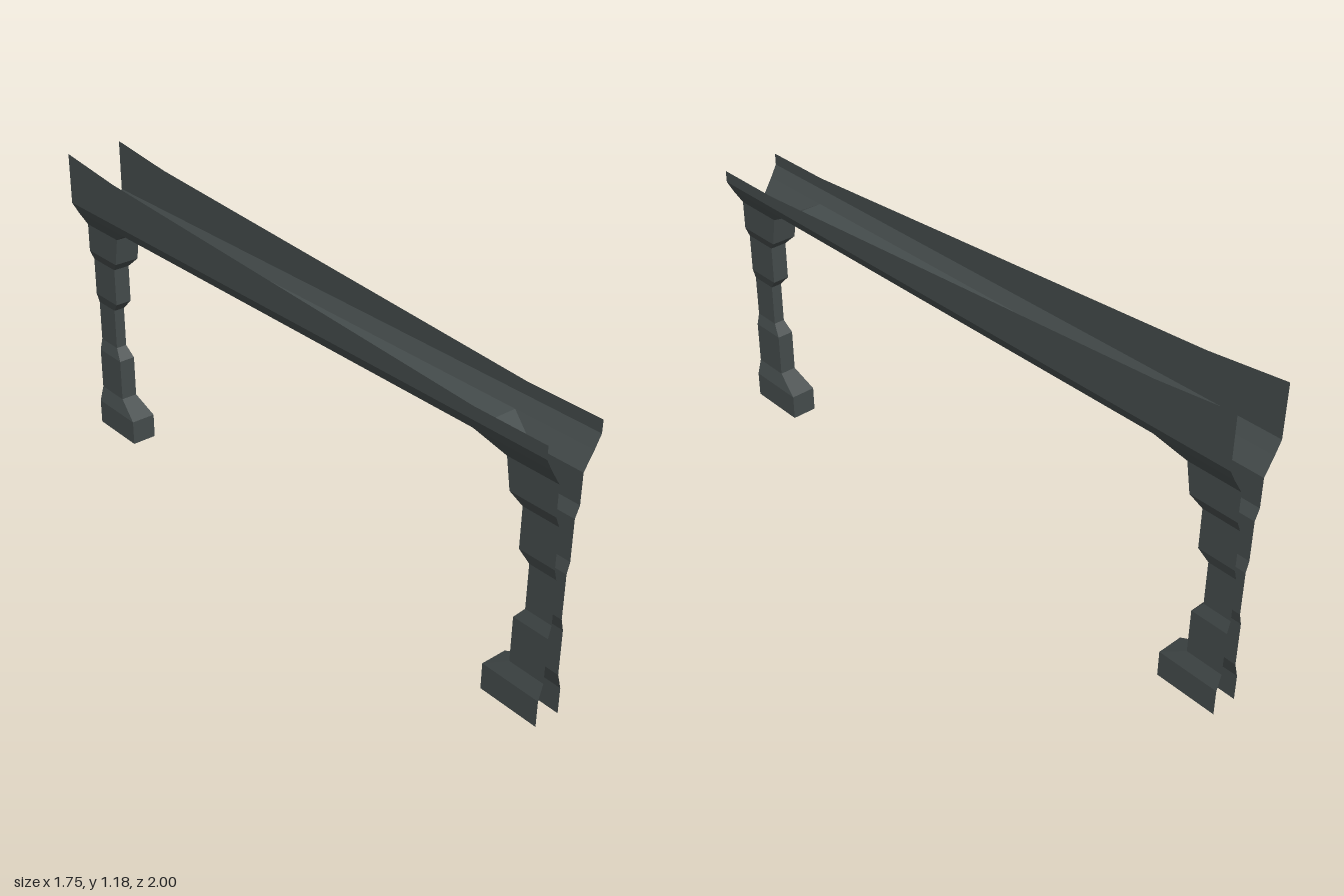
import * as THREE from 'three';

const END = 1.217;            // half length of the frame
const HEADING = 40.4 * Math.PI / 180;

// Leg profile from the ground up: [height, inner edge along length, half width]
const LEG = [
  [0, 0.98, 0.05], [0.10, 0.98, 0.05], [0.16, 1.075, 0.033], [0.33, 1.075, 0.033],
  [0.375, 1.11, 0.022], [0.54, 1.11, 0.022], [0.58, 1.075, 0.033], [0.73, 1.075, 0.033],
  [0.77, 1.035, 0.05], [0.88, 1.015, 0.05], [0.94, 0.91, 0.088],
];
const FLOOR_Y = 0.94, FLOOR_W = 0.088, WALL_Y = 0.985, WALL_W = 0.113;

// Top edge of the beam walls: [position along length, height]
const TOP = [[-END, 1.18], [-0.92, 1.146], [0.93, 1.03], [END, 1.03]];

const material = new THREE.MeshStandardMaterial({
  color: 0x454c4c, flatShading: true, side: THREE.DoubleSide,
});

// Mesh from a list of four-cornered panels
function panels(name, quads) {
  const pos = [];
  for (const [a, b, c, d] of quads) pos.push(...a, ...b, ...c, ...a, ...c, ...d);
  const geometry = new THREE.BufferGeometry();
  geometry.setAttribute('position', new THREE.Float32BufferAttribute(pos, 3));
  geometry.computeVertexNormals();
  const mesh = new THREE.Mesh(geometry, material);
  mesh.name = name;
  return mesh;
}

// Hollow leg, open at its outer end and underneath
function leg(name, dir) {
  const inner = [], sides = [];
  for (let i = 0; i < LEG.length - 1; i++) {
    const [y0, u0, w0] = LEG[i], [y1, u1, w1] = LEG[i + 1];
    inner.push([[-w0, y0, dir * u0], [w0, y0, dir * u0], [w1, y1, dir * u1], [-w1, y1, dir * u1]]
      .slice()[dir > 0 ? 'reverse' : 'slice']());
    for (const s of [-1, 1]) {
      const q = [[s * w0, y0, dir * u0], [s * w0, y0, dir * END],
        [s * w1, y1, dir * END], [s * w1, y1, dir * u1]];
      sides.push(s * dir > 0 ? q.reverse() : q);
    }
  }
  const group = new THREE.Group();
  group.name = name;
  group.add(panels('legInnerFace', inner), panels('legSides', sides));
  return group;
}

// Beam wall: flared skirt below, upright panel with a sloping top edge above
function beamWall(name, s) {
  const quads = [[
    [s * FLOOR_W, FLOOR_Y, -END], [s * FLOOR_W, FLOOR_Y, END],
    [s * WALL_W, WALL_Y, END], [s * WALL_W, WALL_Y, -END],
  ]];
  for (let i = 0; i < TOP.length - 1; i++) {
    const [u0, y0] = TOP[i], [u1, y1] = TOP[i + 1];
    quads.push([[s * WALL_W, WALL_Y, u0], [s * WALL_W, WALL_Y, u1],
      [s * WALL_W, y1, u1], [s * WALL_W, y0, u0]]);
  }
  return panels(name, s > 0 ? quads.map(q => q.reverse()) : quads);
}

export function createModel() {
  const frame = new THREE.Group();
  frame.name = 'archFrame';

  // Underside of the open channel
  const f = LEG[LEG.length - 1][1];
  frame.add(panels('beamUnderside', [[
    [-FLOOR_W, FLOOR_Y, -f], [FLOOR_W, FLOOR_Y, -f],
    [FLOOR_W, FLOOR_Y, f], [-FLOOR_W, FLOOR_Y, f],
  ]]));
  frame.add(beamWall('beamWallLeft', 1), beamWall('beamWallRight', -1));
  frame.add(leg('frontLeg', 1), leg('backLeg', -1));

  // The frame stands diagonally
  frame.rotation.y = HEADING;
  const model = new THREE.Group();
  model.name = 'model';
  model.add(frame);
  return model;
}
